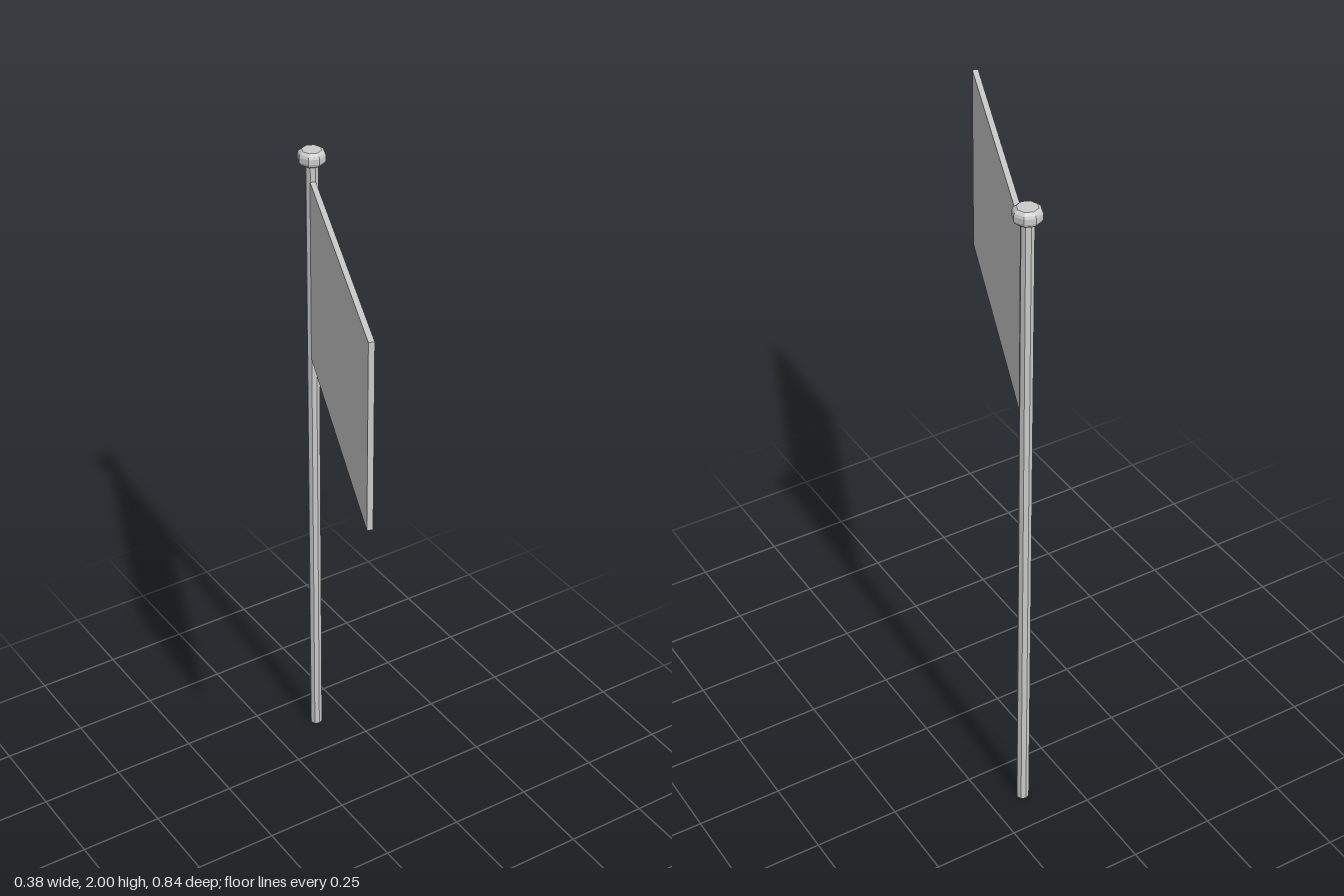
import * as THREE from 'three';

export function createModel() {
  const model = new THREE.Group();
  model.name = 'flagOnPole';
  const material = new THREE.MeshStandardMaterial({ color: 0xcccccc, flatShading: true });
  const add = (name, geometry, parent) => {
    const mesh = new THREE.Mesh(geometry, material);
    mesh.name = name;
    parent.add(mesh);
    return mesh;
  };

  // Everything is placed around the pole axis
  const mast = new THREE.Group();
  mast.name = 'mast';
  mast.position.set(0.148, 0, -0.382);
  model.add(mast);

  // Octagonal pole
  const poleHeight = 1.965;
  add('pole', new THREE.CylinderGeometry(0.0185, 0.0185, poleHeight, 8), mast).position.y = poleHeight / 2;

  // Flattened, faceted cap
  const profile = [
    [0, 1.957], [0.028, 1.957], [0.037, 1.964], [0.04, 1.971],
    [0.04, 1.986], [0.037, 1.993], [0.028, 2], [0, 2],
  ].map(([r, y]) => new THREE.Vector2(r, y));
  add('finial', new THREE.LatheGeometry(profile, 8), mast);

  // Stiff flat flag, swung forwards and to the right
  const length = 0.863, bottom = 1.35, top = 1.91;
  const flagGeometry = new THREE.BoxGeometry(length, top - bottom, 0.016);
  flagGeometry.translate(length / 2, (top + bottom) / 2, 0);
  add('flag', flagGeometry, mast).rotation.y = -THREE.MathUtils.degToRad(112.5);

  return model;
}
